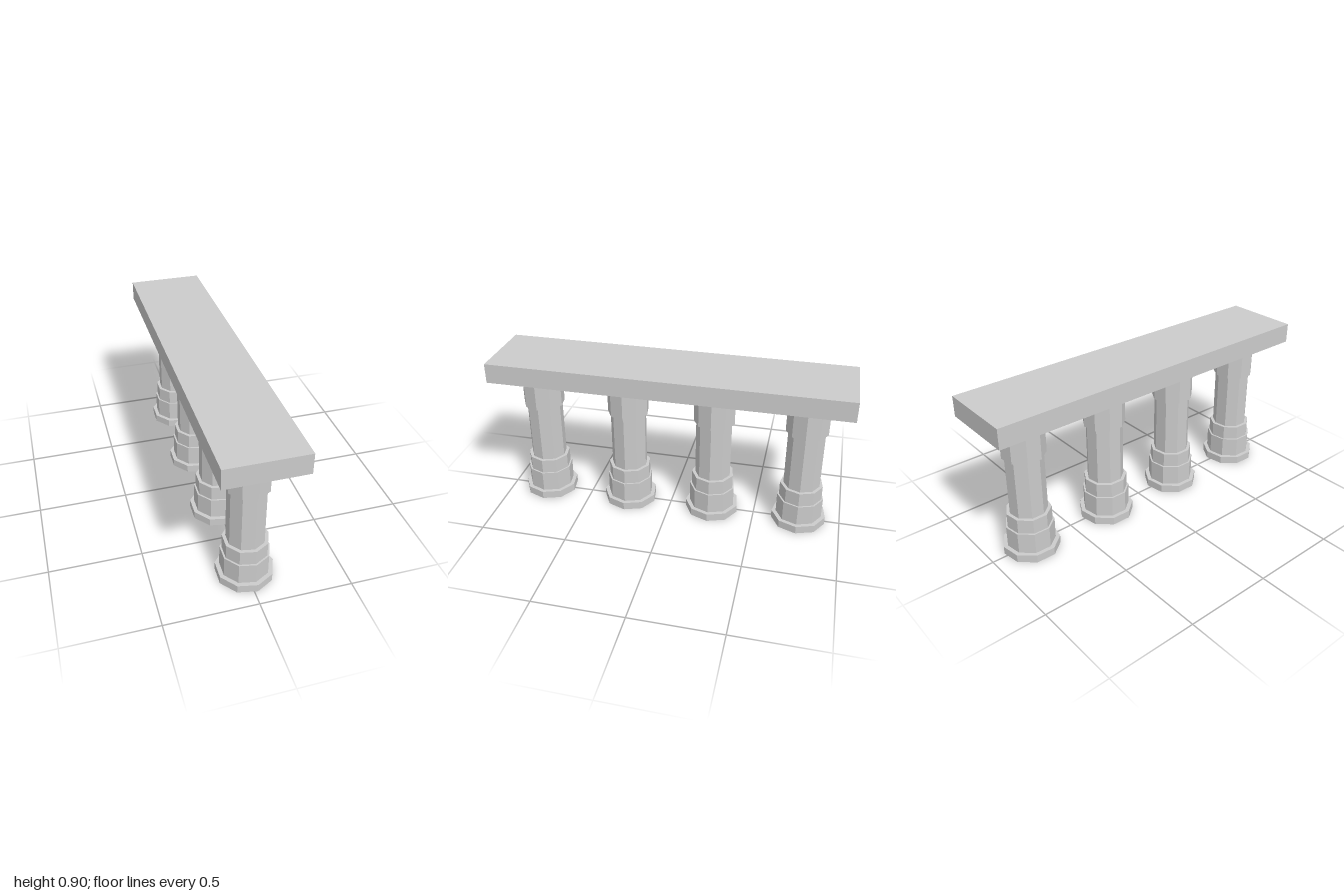
import * as THREE from 'three';

const SIDES = 9;

export function createModel() {
  const group = new THREE.Group();
  const material = new THREE.MeshStandardMaterial({ color: 0xcccccc, flatShading: true });

  // Slab resting on the columns
  const slab = new THREE.Mesh(new THREE.BoxGeometry(0.427, 0.112, 2), material);
  slab.name = 'slab';
  slab.position.y = 0.846;
  group.add(slab);

  // Stepped column tiers: radius, bottom, top
  const tiers = [
    [0.1565, 0, 0.045],     // foot
    [0.1325, 0.045, 0.165], // lower base
    [0.1225, 0.165, 0.248], // upper base
    [0.1035, 0.248, 0.588], // shaft
    [0.118, 0.588, 0.76],   // neck
    [0.1425, 0.76, 0.79],   // cap
  ];
  const profile = [new THREE.Vector2(0, 0)];
  for (const [radius, bottom, top] of tiers) {
    profile.push(new THREE.Vector2(radius, bottom), new THREE.Vector2(radius, top));
  }
  profile.push(new THREE.Vector2(0, 0.79));
  const columnGeometry = new THREE.LatheGeometry(profile, SIDES, THREE.MathUtils.degToRad(8.9));

  // Row of four columns from front to back
  [0.765, 0.253, -0.249, -0.762].forEach((z, i) => {
    const column = new THREE.Mesh(columnGeometry, material);
    column.name = `column${i + 1}`;
    column.position.set(-0.006, 0, z);
    group.add(column);
  });

  return group;
}
